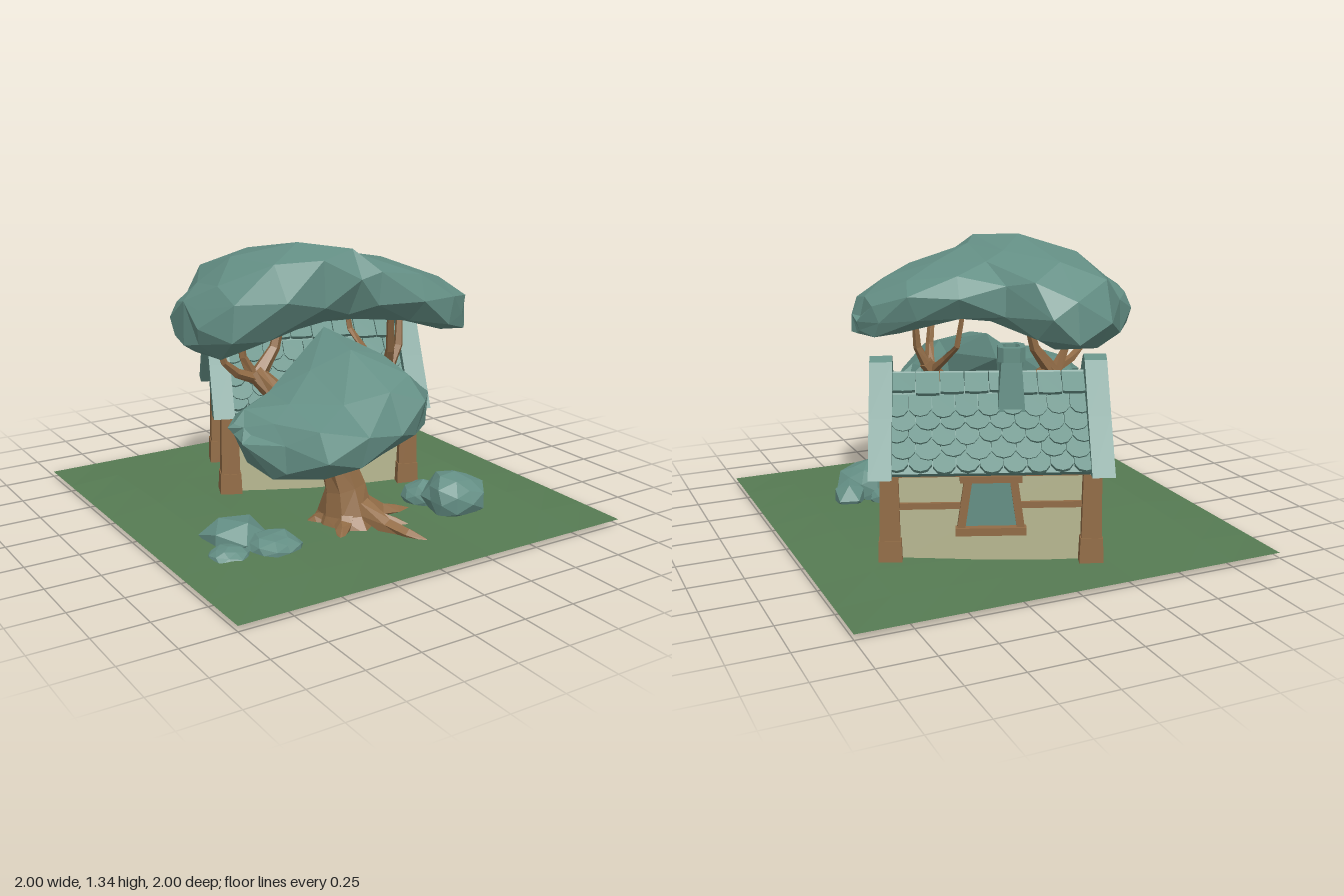
import * as THREE from 'three';
import { mergeGeometries } from 'three/addons/utils/BufferGeometryUtils.js';

const mat = (name, color, side = THREE.FrontSide) =>
  Object.assign(new THREE.MeshStandardMaterial({ color, side }), { name });
const V = (x, y, z) => new THREE.Vector3(x, y, z);

export function createModel() {
  const root = new THREE.Group();
  root.name = 'cottageAndTree';
  const grass = mat('grass green', 0x567b53, THREE.DoubleSide);
  const teal = mat('muted teal', 0x648f85);
  const plaster = mat('cream plaster', 0xb8b891);
  const wood = mat('brown wood', 0x926c46);
  const doorWood = mat('red brown door', 0x8f5633);
  const iron = mat('dark iron', 0x3a3028);

  let seed = 7;
  const rnd = () => ((seed = (seed * 16807) % 2147483647) / 2147483647) * 2 - 1;

  const add = (parent, name, geo, material) => {
    const m = new THREE.Mesh(geo, material);
    m.name = name;
    parent.add(m);
    return m;
  };
  const faceted = (geo) => {
    const g = geo.index ? geo.toNonIndexed() : geo;
    g.computeVertexNormals();
    return g;
  };
  const box = (parent, name, material, w, h, d, x, y, z) => {
    const m = add(parent, name, new THREE.BoxGeometry(w, h, d), material);
    m.position.set(x, y, z);
    return m;
  };

  // Capped skin over a list of equal-length rings
  const loft = (rings) => {
    const n = rings[0].length, pos = [], idx = [];
    rings.forEach((r) => r.forEach((p) => pos.push(p.x, p.y, p.z)));
    for (let k = 0; k < rings.length - 1; k++) for (let i = 0; i < n; i++) {
      const a = k * n + i, b = k * n + (i + 1) % n;
      if (k % 2) idx.push(a, b, b + n, a, b + n, a + n);
      else idx.push(a, b, a + n, b, b + n, a + n);
    }
    const last = (rings.length - 1) * n;
    for (let i = 1; i < n - 1; i++) idx.push(0, i + 1, i, last, last + i, last + i + 1);
    const g = new THREE.BufferGeometry();
    g.setAttribute('position', new THREE.Float32BufferAttribute(pos, 3));
    g.setIndex(idx);
    return faceted(g);
  };

  // Tapered branch: points are [x, y, z, radius]
  const limb = (pts, sides = 7) => {
    const c = pts.map((p) => V(p[0], p[1], p[2]));
    return loft(pts.map((p, k) => {
      const t = c[Math.min(k + 1, c.length - 1)].clone().sub(c[Math.max(k - 1, 0)]).normalize();
      const u = V(0, 0, 1).addScaledVector(t, -t.z).normalize(), v = t.clone().cross(u);
      return Array.from({ length: sides }, (_, i) => {
        const a = i / sides * Math.PI * 2, r = p[3] * (1 + rnd() * 0.12);
        return c[k].clone().addScaledVector(u, Math.cos(a) * r).addScaledVector(v, Math.sin(a) * r);
      });
    }));
  };

  // Foliage: staggered sections of [x, bottom, top, back, front, drop of the front edge]
  const boxy = (v) => Math.sign(v) * Math.abs(v) ** 0.8;
  const foliage = (sections) => loft(sections.map(([x, b, t, z0, z1, drop], k) =>
    Array.from({ length: 8 }, (_, i) => {
      const a = (i + (k % 2) * 0.5) / 8 * Math.PI * 2, j = 1 + rnd() * 0.05;
      const cy = boxy(Math.cos(a)), sz = boxy(Math.sin(a));
      return V(x + rnd() * 0.03, (b + t) / 2 + cy * j * (t - b) / 2 - sz * drop,
        (z0 + z1) / 2 + sz * j * (z1 - z0) / 2);
    })));

  // Ground: nearly flat sheet with gentle swells
  const sheet = new THREE.PlaneGeometry(2, 2, 8, 8).rotateX(-Math.PI / 2);
  const gp = sheet.attributes.position;
  for (let i = 0; i < gp.count; i++) {
    const x = gp.getX(i), z = gp.getZ(i);
    gp.setY(i, 0.03 + 0.12 * x * x * (1 - x * x) * (1 - z * z));
  }
  add(root, 'ground', faceted(sheet), grass);

  // ---------- Cottage ----------
  const house = new THREE.Group();
  house.name = 'cottage';
  house.position.set(0.13, 0, -0.32);
  house.rotation.y = -0.375;
  root.add(house);

  // Outline in (z, y), extruded along x about its middle
  const alongX = (pts, len, x = 0) =>
    new THREE.ExtrudeGeometry(new THREE.Shape(pts.map((p) => new THREE.Vector2(...p))),
      { depth: len, bevelEnabled: false }).translate(0, 0, -len / 2).rotateY(Math.PI / 2).translate(x, 0, 0);

  add(house, 'walls', alongX([[-0.25, 0.022], [0.25, 0.022], [0.25, 0.49], [0, 0.74], [-0.25, 0.49]], 0.87), plaster);
  add(house, 'roofSlab', alongX([[0.325, 0.462], [0, 0.785], [-0.325, 0.462], [-0.3, 0.442], [0, 0.74], [0.3, 0.442]], 0.94), teal);

  for (const s of [-1, 1]) {
    // Gable ends
    add(house, 'gableBoards', alongX([[-0.39, 0.455], [-0.295, 0.45], [-0.15, 0.645], [0, 0.8], [0.15, 0.645], [0.295, 0.45],
      [0.39, 0.455], [0.21, 0.675], [0.04, 0.885], [0, 0.905], [-0.04, 0.885], [-0.21, 0.675]], 0.1, s * 0.475), teal);
    box(house, 'gableBeam', wood, 0.05, 0.07, 0.56, s * 0.45, 0.488, 0);
    box(house, 'kingPost', wood, 0.04, 0.28, 0.055, s * 0.446, 0.65, 0);
    for (const q of [-1, 1]) {
      add(house, 'gableBrace', alongX([[q * 0.05, 0.52], [q * 0.1, 0.52], [q * 0.125, 0.62], [q * 0.17, 0.66],
        [q * 0.13, 0.7], [q * 0.085, 0.63]], 0.035, s * 0.445), wood);
      add(house, 'gableRafter', alongX([[q * 0.3, 0.44], [q * 0.26, 0.44], [0, 0.74], [0, 0.8]], 0.035, s * 0.443), wood);
      // Square corner posts on wider footings
      const pillar = (name, top, bottom, h, y) =>
        add(house, name, faceted(new THREE.CylinderGeometry(top, bottom, h, 4).rotateY(Math.PI / 4)), wood)
          .position.set(s * 0.44, y, q * 0.252);
      pillar('cornerPost', 0.056, 0.066, 0.44, 0.26);
      pillar('postFooting', 0.07, 0.076, 0.125, 0.083);
    }

    // Long side: eave beam, rail and splayed window
    const side = new THREE.Group();
    side.name = s > 0 ? 'frontSide' : 'backSide';
    if (s < 0) side.rotation.y = Math.PI;
    house.add(side);
    box(side, 'eaveBeam', wood, 0.9, 0.05, 0.05, 0, 0.455, 0.25);
    for (const q of [-1, 1]) {
      box(side, 'wallRail', wood, 0.28, 0.028, 0.025, q * 0.27, 0.293, 0.252);
      const jamb = box(side, 'windowJamb', wood, 0.035, 0.24, 0.045, q * 0.115, 0.3, 0.26);
      jamb.rotation.z = q * 0.14;
    }
    box(side, 'windowHead', wood, 0.27, 0.03, 0.06, 0, 0.42, 0.262);
    box(side, 'windowSill', wood, 0.31, 0.035, 0.06, 0, 0.18, 0.262);
    const pane = new THREE.Shape([[-0.115, 0.19], [0.115, 0.19], [0.09, 0.41], [-0.09, 0.41]].map((p) => new THREE.Vector2(...p)));
    add(side, 'windowPane', new THREE.ExtrudeGeometry(pane, { depth: 0.008, bevelEnabled: false }), teal).position.z = 0.25;

    // Overlapping rounded shingles, squared along the ridge
    const tiles = [];
    for (let row = 5; row >= 0; row--) {
      const count = row % 2 ? 9 : 8, w = row % 2 ? 0.101 : 0.108;
      for (let i = 0; i < count; i++) {
        const k = row ? 0.035 : 0.004, e = w / 2 - 0.002, h = 0.115 + rnd() * 0.01;
        const outline = [[-e, 0], [-e, -h + k], [-e * 0.6, -h + k * 0.25], [0, -h],
          [e * 0.6, -h + k * 0.25], [e, -h + k], [e, 0]].map((p) => new THREE.Vector2(...p));
        tiles.push(new THREE.ExtrudeGeometry(new THREE.Shape(outline), { depth: 0.018, bevelEnabled: false })
          .rotateX(-0.12 + rnd() * 0.02)
          .translate((i - (count - 1) / 2) * w, row ? -0.015 - row * 0.068 : 0.03, row ? 0.002 : 0.012));
      }
    }
    const slope = add(side, 'shingles', mergeGeometries(tiles), teal);
    slope.position.set(0, 0.788, 0);
    slope.rotation.x = -0.78;
  }

  // Door with planks, frame and knob on the +x end
  for (let i = -1; i <= 1; i++) box(house, 'doorPlank', doorWood, 0.03, 0.325, 0.064, 0.44, 0.193, 0.01 + i * 0.066);
  for (const q of [-1, 1]) box(house, 'doorJamb', wood, 0.045, 0.33, 0.03, 0.445, 0.195, 0.01 + q * 0.116);
  box(house, 'doorLintel', wood, 0.07, 0.05, 0.33, 0.45, 0.385, 0.005);
  add(house, 'doorKnob', new THREE.SphereGeometry(0.013, 8, 6), iron).position.set(0.462, 0.185, 0.075);

  // Chimney with an open cap
  const stack = add(house, 'chimney', faceted(new THREE.CylinderGeometry(0.062, 0.09, 0.28, 4).rotateY(Math.PI / 4)), teal);
  stack.position.set(-0.096, 0.77, -0.08);
  const capShape = (r) => [[-r, -r * 0.6], [-r * 0.6, -r], [r * 0.6, -r], [r, -r * 0.6], [r, r * 0.6], [r * 0.6, r],
    [-r * 0.6, r], [-r, r * 0.6]].map((p) => new THREE.Vector2(...p));
  const cap = new THREE.Shape(capShape(0.06));
  cap.holes.push(new THREE.Path(capShape(0.036)));
  add(house, 'chimneyCap', new THREE.ExtrudeGeometry(cap, { depth: 0.065, bevelEnabled: false }).rotateX(-Math.PI / 2), teal)
    .position.set(-0.096, 0.9, -0.08);

  // ---------- Tree ----------
  const tree = new THREE.Group();
  tree.name = 'tree';
  root.add(tree);
  add(tree, 'trunk', limb([[-0.07, 0.01, 0.34, 0.16], [-0.07, 0.08, 0.34, 0.13], [-0.08, 0.2, 0.33, 0.095],
    [-0.12, 0.36, 0.31, 0.08], [-0.2, 0.48, 0.24, 0.065], [-0.31, 0.61, 0.12, 0.055], [-0.39, 0.72, 0.05, 0.045]], 8), wood);
  const branches = [
    // right fork
    [[-0.13, 0.34, 0.31, 0.06], [-0.03, 0.5, 0.31, 0.05], [0.09, 0.62, 0.3, 0.04], [0.19, 0.74, 0.3, 0.035]],
    [[0.17, 0.71, 0.3, 0.028], [0.14, 0.82, 0.36, 0.02], [0.1, 1.02, 0.42, 0.015]],
    [[0.18, 0.72, 0.3, 0.028], [0.23, 0.82, 0.3, 0.022], [0.25, 0.98, 0.28, 0.015]],
    [[0.15, 0.7, 0.29, 0.025], [0.13, 0.78, 0.18, 0.018], [0.12, 0.86, 0.06, 0.014], [0.1, 1.02, 0.04, 0.012]],
    // low limb into the front foliage
    [[-0.13, 0.34, 0.34, 0.055], [-0.24, 0.42, 0.43, 0.04], [-0.35, 0.48, 0.52, 0.03]],
    // left fork
    [[-0.36, 0.68, 0.06, 0.03], [-0.5, 0.74, 0.08, 0.022], [-0.57, 0.8, 0.1, 0.016], [-0.63, 0.95, 0.11, 0.012]],
    [[-0.4, 0.7, 0.05, 0.03], [-0.45, 0.8, 0.05, 0.02], [-0.47, 0.97, 0.04, 0.015]],
    [[-0.38, 0.7, 0.05, 0.04], [-0.28, 0.82, 0.04, 0.028], [-0.22, 1.02, 0.03, 0.02]],
  ];
  branches.forEach((b) => add(tree, 'branch', limb(b, 5), wood));
  // Roots fan out from the foot: [angle, reach]
  [[0.1, 0.33], [0.75, 0.28], [1.15, 0.42], [2.3, 0.22], [3.6, 0.19], [5.4, 0.22]].forEach(([a, r]) => {
    const at = (f, y, w) => [-0.07 + Math.cos(a) * r * f, y, 0.34 + Math.sin(a) * r * f, w];
    add(tree, 'root', limb([at(0.15, 0.12, 0.05), at(0.5, 0.045, 0.042), at(0.78, 0.035, 0.03), at(1, 0.022, 0.012)], 5), wood);
  });

  add(tree, 'upperCanopy', foliage([
    [-0.73, 0.9, 1.1, -0.06, 0.22, 0], [-0.67, 0.84, 1.18, -0.15, 0.38, -0.03], [-0.5, 0.85, 1.28, -0.32, 0.5, -0.07],
    [-0.32, 0.89, 1.32, -0.37, 0.55, -0.1], [-0.17, 0.94, 1.3, -0.32, 0.58, -0.09], [-0.06, 0.97, 1.28, -0.11, 0.6, -0.04],
    [0.15, 0.97, 1.23, -0.07, 0.61, 0.01], [0.34, 0.91, 1.17, 0.03, 0.58, 0.02], [0.46, 0.88, 1.08, 0.18, 0.51, 0],
    [0.52, 0.9, 0.99, 0.32, 0.43, 0]]), teal);
  add(tree, 'lowerCanopy', foliage([
    [-0.68, 0.55, 0.61, 0.38, 0.5, 0.02], [-0.6, 0.41, 0.67, 0.28, 0.66, 0.03], [-0.47, 0.43, 0.71, 0.24, 0.83, 0.04],
    [-0.28, 0.46, 0.74, 0.14, 0.8, 0.08], [-0.08, 0.5, 0.86, 0.0, 0.75, 0.12], [0.08, 0.5, 0.8, 0.3, 0.69, 0.06],
    [0.2, 0.51, 0.7, 0.36, 0.58, 0.03], [0.26, 0.58, 0.63, 0.4, 0.48, 0]]), teal);

  // ---------- Bushes: [x, z, radius, height] ----------
  const bushes = [
    [0.44, 0.48, 0.15, 0.21], [0.57, 0.39, 0.085, 0.15], [0.37, 0.33, 0.1, 0.13],
    [-0.74, 0.43, 0.095, 0.08], [-0.64, 0.28, 0.15, 0.14], [-0.53, 0.44, 0.13, 0.1],
  ];
  bushes.forEach(([x, z, r, h], i) => {
    const g = new THREE.IcosahedronGeometry(1, i % 3 === 1 ? 0 : 1).rotateY(i * 1.3).scale(r, h * 0.58, r);
    const p = g.attributes.position;
    for (let k = 0; k < p.count; k++) {
      // bulge by position so shared corners stay joined
      const f = 1 + 0.09 * Math.sin(p.getX(k) * 55 + p.getZ(k) * 40 + i);
      p.setXYZ(k, p.getX(k) * f, Math.max(p.getY(k) * f, -h * 0.42), p.getZ(k) * f);
    }
    add(root, 'bush', faceted(g), teal).position.set(x, h * 0.42 + 0.005, z);
  });
  return root;
}
